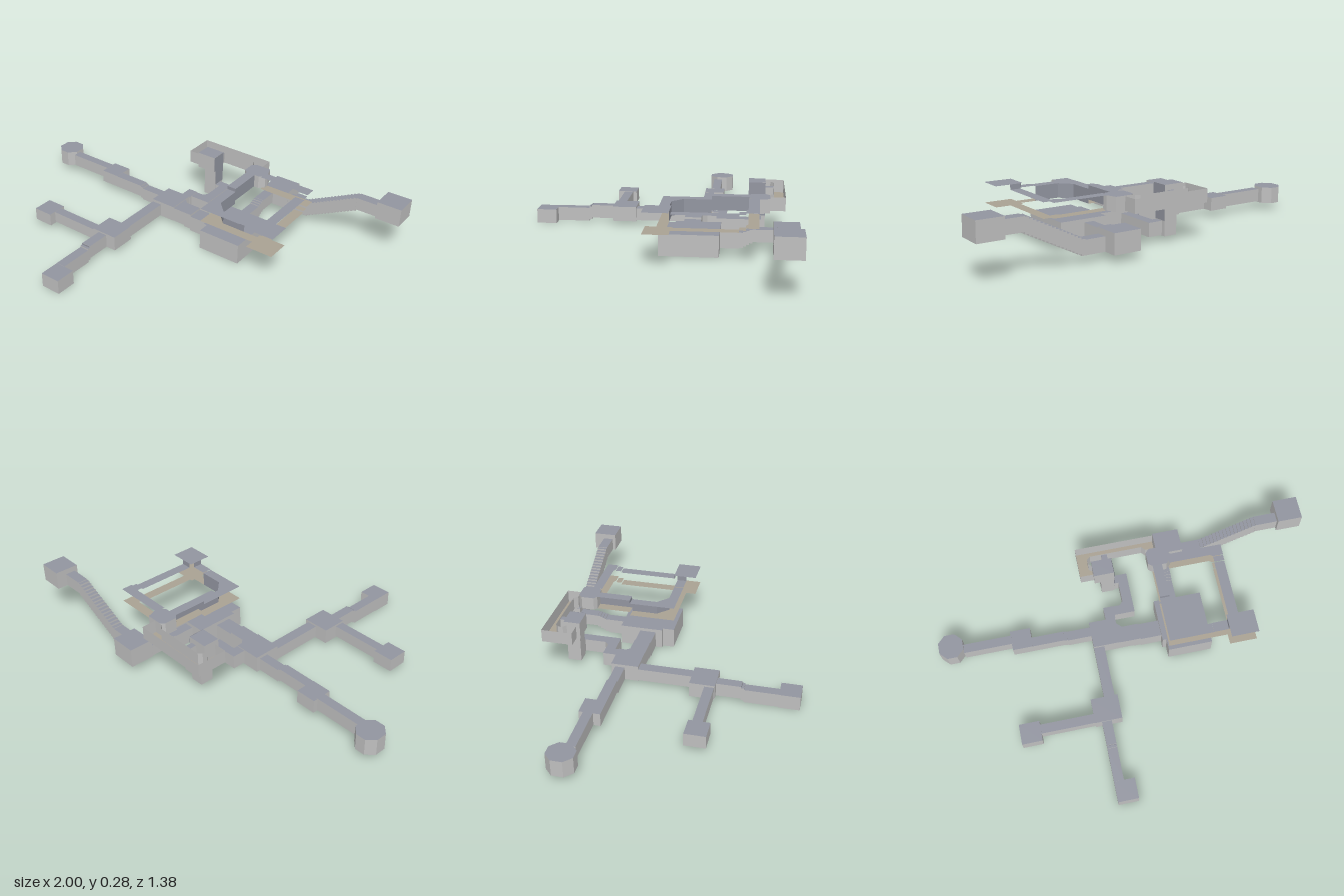
import * as THREE from 'three';

const mat = (name, color) => {
  const m = new THREE.MeshStandardMaterial({ color, side: THREE.DoubleSide, flatShading: true });
  m.name = name;
  return m;
};

export function createModel() {
  const model = new THREE.Group();
  model.name = 'tunnelNetwork';
  const wall = mat('wallGrey', 0xbfbfbf);
  const roof = mat('ceilingSlate', 0x9295a0);
  const floor = mat('floorSand', 0xaaa293);

  const add = (parent, name, geometry, material) => {
    const mesh = new THREE.Mesh(geometry, material);
    mesh.name = name;
    parent.add(mesh);
  };

  // Upright sheet along a line of [x, z] points
  const sheet = (pts, y0, y1) => {
    const pos = [];
    for (let i = 0; i + 1 < pts.length; i++) {
      const [ax, az] = pts[i], [bx, bz] = pts[i + 1];
      pos.push(ax, y0, az, bx, y0, bz, bx, y1, bz, ax, y0, az, bx, y1, bz, ax, y1, az);
    }
    const g = new THREE.BufferGeometry();
    g.setAttribute('position', new THREE.Float32BufferAttribute(pos, 3));
    g.computeVertexNormals();
    return g;
  };

  // Flat plate over an outline of [x, z] points
  const plate = (pts, y, up) => {
    const shape = new THREE.Shape(pts.map(([x, z]) => new THREE.Vector2(x, up ? -z : z)));
    return new THREE.ShapeGeometry(shape).rotateX(up ? -Math.PI / 2 : Math.PI / 2).translate(0, y, 0);
  };

  // Hollow section: walls, ceiling and floor, any of which may be left out
  const section = (name, pts, y0, y1, { walls = true, top = true } = {}) => {
    const g = new THREE.Group();
    g.name = name;
    if (walls) add(g, name + 'Walls', sheet([...pts, pts[0]].reverse(), y0, y1), wall);
    if (top) add(g, name + 'Ceiling', plate(pts, y1, true), roof);
    add(g, name + 'Floor', plate(pts, y0, false), floor);
    model.add(g);
  };
  const rect = (x0, x1, z0, z1) => [[x0, z0], [x0, z1], [x1, z1], [x1, z0]];
  const box = (name, x0, x1, y0, y1, z0, z1, o) => section(name, rect(x0, x1, z0, z1), y0, y1, o);

  // West wing: octagonal chamber and its passage
  const c = 0.037;
  section('octagonChamber', [
    [-1, -0.34 + c], [-1, -0.21 - c], [-1 + c, -0.21], [-0.875 - c, -0.21],
    [-0.875, -0.21 - c], [-0.875, -0.34 + c], [-0.875 - c, -0.34], [-1 + c, -0.34]], 0.035, 0.12);
  box('westPassage', -0.875, -0.62, 0.04, 0.107, -0.277, -0.23);
  box('westBend', -0.625, -0.52, 0.037, 0.105, -0.3, -0.195);
  box('westPassageInner', -0.52, -0.35, 0.037, 0.103, -0.245, -0.195);
  box('westStep', -0.35, -0.335, 0.03, 0.097, -0.245, -0.195);
  box('westPassageEnd', -0.335, -0.21, 0.022, 0.09, -0.245, -0.195);

  // Central crossing room and south wing
  box('crossingRoom', -0.21, -0.07, 0.02, 0.105, -0.265, -0.125);
  box('southPassage', -0.21, -0.155, 0.025, 0.09, -0.125, 0.15);
  box('southRoom', -0.28, -0.14, 0.022, 0.1, 0.15, 0.277);
  box('southWestPassage', -0.56, -0.28, 0.03, 0.09, 0.225, 0.273);
  box('southWestRoom', -0.66, -0.555, 0.025, 0.092, 0.205, 0.31);
  box('southPassageUpper', -0.245, -0.195, 0.022, 0.092, 0.277, 0.4);
  box('southStep', -0.245, -0.195, 0.014, 0.084, 0.4, 0.415);
  box('southPassageLower', -0.245, -0.195, 0.004, 0.076, 0.415, 0.585);
  box('southEndRoom', -0.245, -0.14, 0, 0.075, 0.585, 0.69);

  // East hall with stepped approach
  section('hallApproach', [[-0.07, -0.235], [-0.07, -0.125], [0, -0.125], [0, -0.21], [-0.045, -0.21]], 0.022, 0.1);
  box('hallApproachStep', 0, 0.04, 0.014, 0.1, -0.21, -0.125);
  box('hallApproachEnd', 0.04, 0.15, 0.004, 0.09, -0.21, -0.125);
  section('hall', [[0.15, -0.315], [0.15, -0.09], [0.17, -0.09], [0.17, -0.03], [0.4, -0.03], [0.4, -0.315]], 0, 0.107);

  // North passage, room and long rising stair
  box('northPassage', 0.22, 0.272, 0.01, 0.09, -0.41, -0.315);
  for (let i = 0; i < 4; i++)
    box('northStep', 0.22, 0.272, 0.015 + i * 0.008, 0.09 + i * 0.005, -0.425 - i * 0.015, -0.41 - i * 0.015);
  box('northPassageEnd', 0.22, 0.272, 0.045, 0.107, -0.57, -0.47);
  box('northRoom', 0.222, 0.362, 0.038, 0.137, -0.695, -0.57);
  box('stairFoot', 0.362, 0.465, 0.038, 0.108, -0.625, -0.572);
  const steps = 16;
  for (let i = 0; i < steps; i++) {
    const x = 0.465 + i * 0.0181, rise = (i + 0.5) * 0.145 / steps;
    box('stairStep', x, x + 0.0181, 0.034 + rise, 0.108 + rise, -0.625, -0.572);
  }
  box('stairHead', 0.755, 0.872, 0.185, 0.252, -0.625, -0.572);
  box('northEastRoom', 0.872, 1, 0.185, 0.28, -0.68, -0.555);

  // Winding passage from the crossing to the tower
  box('windingStart', -0.12, -0.068, 0.028, 0.1, -0.335, -0.265);
  section('windingPassage', [
    [-0.12, -0.335], [-0.12, -0.285], [0.04, -0.285], [0.04, -0.51], [-0.035, -0.51],
    [-0.035, -0.465], [-0.012, -0.465], [-0.012, -0.355], [-0.03, -0.335]], 0.028, 0.097);

  // Tower
  box('towerShaft', -0.105, -0.036, 0.025, 0.185, -0.53, -0.46);
  box('towerHead', -0.14, -0.035, 0.185, 0.272, -0.53, -0.445);
  add(model, 'towerShaftSide', sheet([[-0.034, -0.46], [-0.034, -0.53]], 0.1, 0.185), roof);
  add(model, 'towerHeadSide', sheet([[-0.033, -0.445], [-0.033, -0.53]], 0.185, 0.272), roof);
  box('towerLink', -0.08, -0.05, 0.185, 0.245, -0.57, -0.53);

  // Open-topped upper channel
  section('openChannel', [
    [-0.21, -0.625], [-0.21, -0.465], [-0.14, -0.465], [-0.14, -0.515], [-0.157, -0.53], [-0.157, -0.555],
    [-0.14, -0.57], [0.135, -0.57], [0.152, -0.55], [0.205, -0.55], [0.205, -0.625]], 0.185, 0.252, { top: false });
  section('upperJunction', [
    [0.17, -0.55], [0.15, -0.53], [0.15, -0.465], [0.17, -0.45], [0.22, -0.45],
    [0.245, -0.45], [0.272, -0.475], [0.272, -0.5], [0.255, -0.55]], 0.185, 0.255);

  // Upper loop: floors and ceilings, walled only on its inner west side
  const bare = { walls: false };
  box('loopWest', 0.17, 0.22, 0.185, 0.255, -0.45, -0.27, bare);
  section('loopCorner', [
    [0.17, -0.27], [0.17, -0.03], [0.4, -0.03], [0.4, -0.08], [0.275, -0.08], [0.22, -0.135], [0.22, -0.27]],
    0.165, 0.237, bare);
  box('loopSouth', 0.4, 0.48, 0.165, 0.24, -0.08, -0.03, bare);
  box('loopRoom', 0.478, 0.62, 0.165, 0.265, -0.1, 0.022, bare);
  box('loopEast', 0.492, 0.545, 0.165, 0.24, -0.41, -0.1, bare);
  box('loopEastStep', 0.492, 0.545, 0.175, 0.248, -0.44, -0.41, bare);
  section('loopNorth', [
    [0.26, -0.5], [0.26, -0.45], [0.475, -0.45], [0.492, -0.44], [0.545, -0.44], [0.545, -0.5]], 0.185, 0.255, bare);
  add(model, 'loopInnerWallNorth', sheet([[0.22, -0.27], [0.22, -0.45]], 0.185, 0.255), roof);
  add(model, 'loopInnerWallSouth',
    sheet([[0.4, -0.08], [0.275, -0.08], [0.22, -0.135], [0.22, -0.27]], 0.165, 0.237), roof);
  // Ceiling risers
  add(model, 'loopWestRiser', sheet([[0.17, -0.27], [0.22, -0.27]], 0.237, 0.255), roof);
  add(model, 'loopRoomRiserWest', sheet([[0.478, -0.08], [0.478, -0.03]], 0.24, 0.265), roof);
  add(model, 'loopRoomRiserNorth', sheet([[0.492, -0.1], [0.545, -0.1]], 0.24, 0.265), roof);
  add(model, 'southRiser', sheet([[-0.245, 0.402], [-0.195, 0.402]], 0.084, 0.092), roof);

  return model;
}
